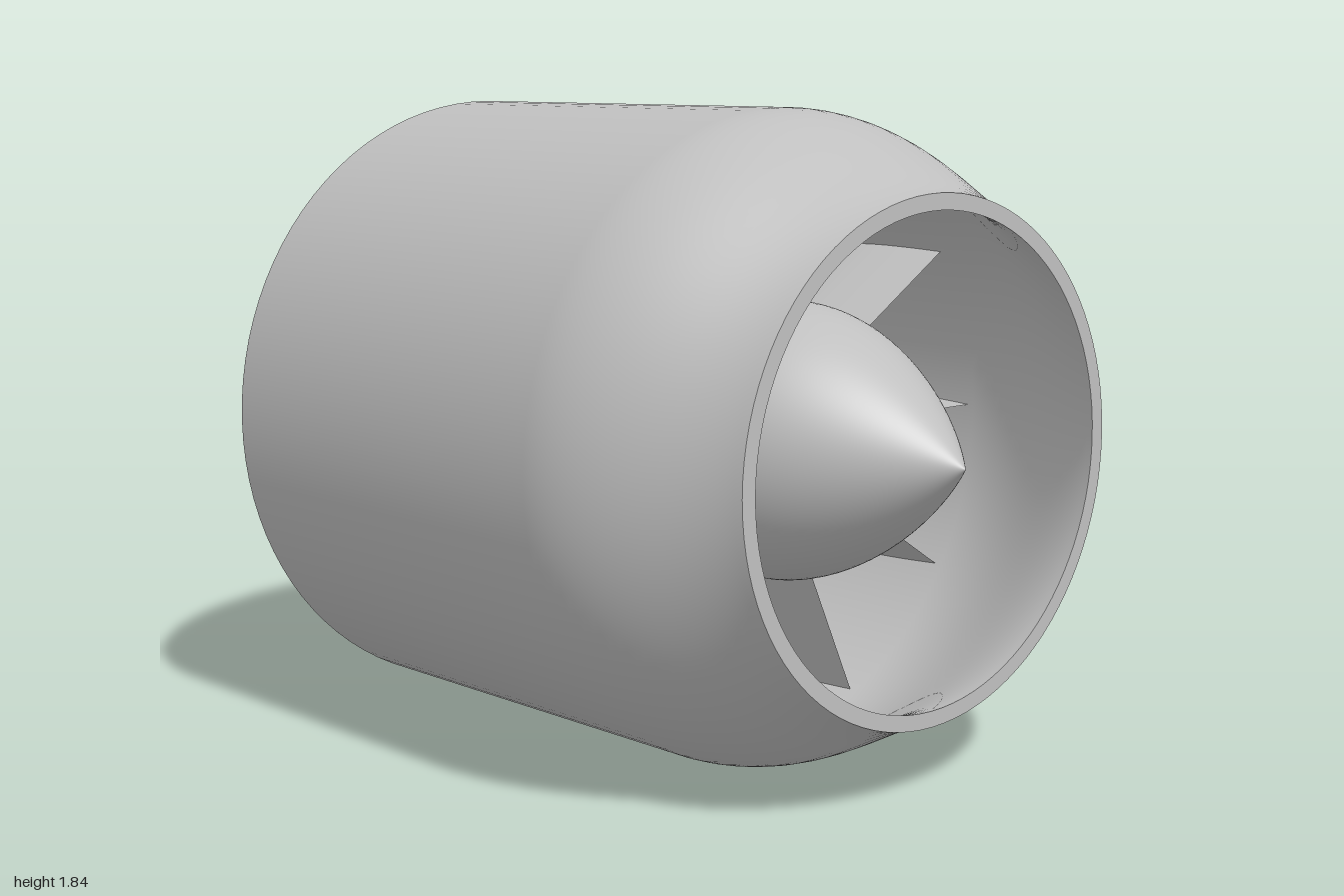
import * as THREE from 'three';

const SEGMENTS = 96;
const VANES = 11;
const v = (r, a) => new THREE.Vector2(r, a); // radius, position along the axis

export function createModel() {
  const metal = new THREE.MeshStandardMaterial({ color: 0xbfbfbf });
  metal.name = 'grey metal';

  const model = new THREE.Group();
  model.name = 'exhaustNozzle';

  // Everything is turned around +y, then the axis is laid along +x
  const body = new THREE.Group();
  body.name = 'nozzleBody';
  body.rotation.z = -Math.PI / 2;
  body.position.y = 0.92;
  model.add(body);

  const add = (name, geometry, parent = body) => {
    const mesh = new THREE.Mesh(geometry, metal);
    mesh.name = name;
    parent.add(mesh);
    return mesh;
  };
  const turn = (name, points) => add(name, new THREE.LatheGeometry(points, SEGMENTS));
  const bend = (a, b, c, d) => new THREE.CubicBezierCurve(a, b, c, d).getPoints(24);

  // Casing: outer skin, exit rim, inner wall and rounded inlet lip
  turn('outerSkin', [
    v(0.92, -0.985),
    ...bend(v(0.92, 0.32), v(0.92, 0.55), v(0.745, 0.72), v(0.71, 0.9)),
  ]);
  turn('exitRim', [v(0.71, 0.9), v(0.665, 0.9)]);
  turn('innerWall', [
    ...bend(v(0.665, 0.9), v(0.7, 0.72), v(0.885, 0.53), v(0.885, 0.28)),
    v(0.885, -0.985),
  ]);
  const lip = [];
  for (let i = 0; i <= 10; i++) {
    const t = (i / 10) * Math.PI;
    lip.push(v(0.9025 - 0.0175 * Math.cos(t), -0.985 - 0.015 * Math.sin(t)));
  }
  turn('inletLip', lip);

  // Centre body: flat front, straight barrel and pointed tail cone
  turn('hubFront', [v(0, -0.12), v(0.39, -0.12)]);
  turn('hubBarrel', [v(0.39, -0.12), v(0.39, 0.36)]);
  turn('tailCone', bend(v(0.39, 0.36), v(0.385, 0.58), v(0.2, 0.82), v(0, 1)));

  // Radial vanes with a thin aerofoil section, joining hub and casing
  const section = new THREE.Shape();
  section.moveTo(0, -0.1);
  section.bezierCurveTo(0.012, -0.08, 0.012, 0.06, 0, 0.26);
  section.bezierCurveTo(-0.012, 0.06, -0.012, -0.08, 0, -0.1);
  const vaneGeometry = new THREE.ExtrudeGeometry(section, {
    depth: 0.52, bevelEnabled: false, curveSegments: 10,
  });
  vaneGeometry.translate(0, 0, 0.38);
  const vanes = new THREE.Group();
  vanes.name = 'guideVanes';
  body.add(vanes);
  for (let i = 0; i < VANES; i++) {
    add('guideVane', vaneGeometry, vanes).rotation.y = Math.PI + (i / VANES) * Math.PI * 2;
  }

  return model;
}
